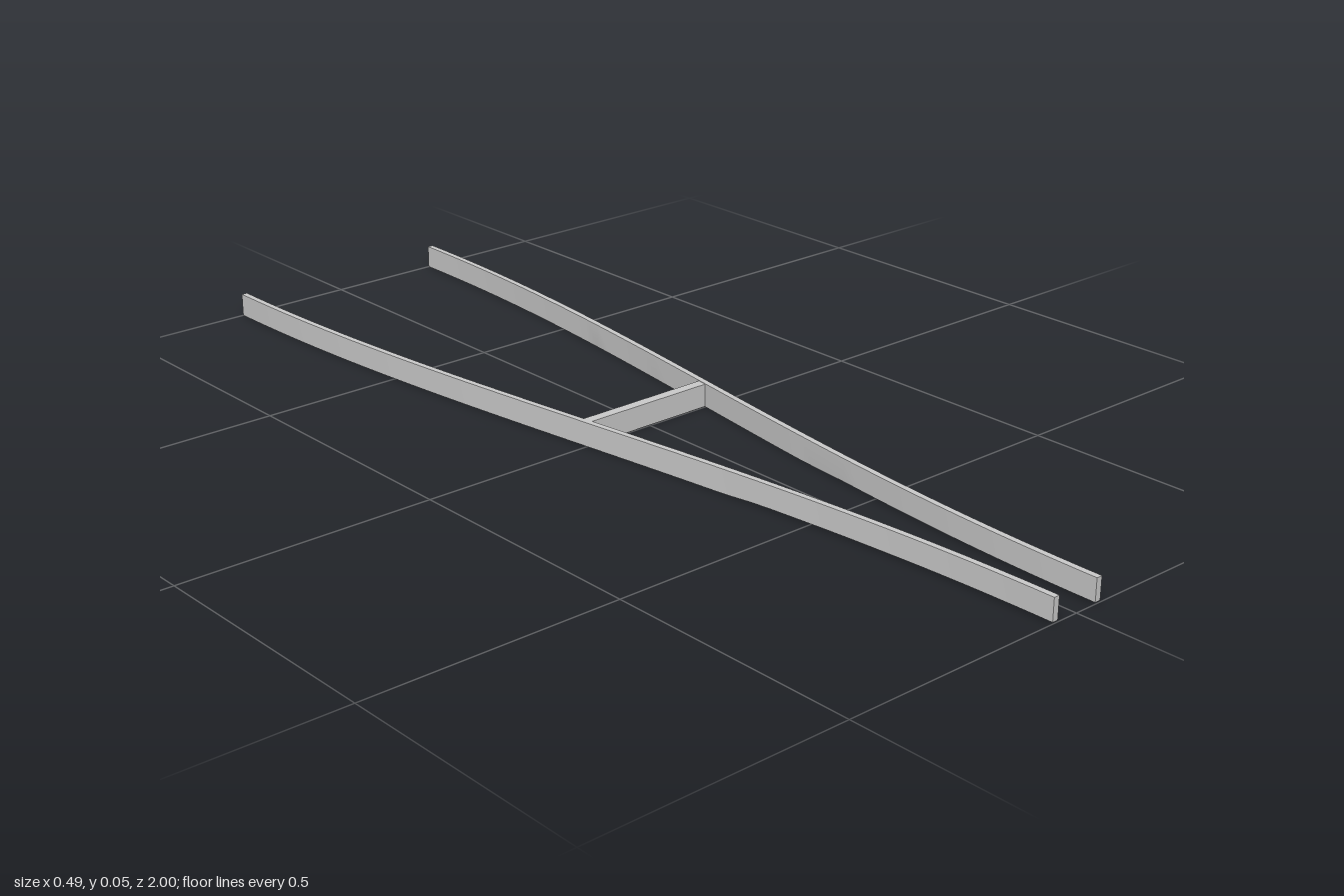
import * as THREE from 'three';
import { toCreasedNormals } from 'three/addons/utils/BufferGeometryUtils.js';

const HEIGHT = 0.046, HALF_THICK = 0.006, STEPS = 48;

// Centre line of the left rail: a gentle S, narrow at the front, wide at the back
const railX = (z) => 0.144 - 0.093 * Math.sin((Math.PI * z) / 2);

function railGeometry(side) {
  const inner = [], outer = [];
  for (let i = 0; i <= STEPS; i++) {
    const z = -1 + (2 * i) / STEPS;
    const x = side * railX(z);
    inner.push(new THREE.Vector2(x - HALF_THICK, -z));
    outer.push(new THREE.Vector2(x + HALF_THICK, -z));
  }
  const shape = new THREE.Shape([...inner, ...outer.reverse()]);
  const geo = new THREE.ExtrudeGeometry(shape, { depth: HEIGHT, bevelEnabled: false });
  geo.rotateX(-Math.PI / 2);

  // The underside rises very slightly towards the front
  const pos = geo.attributes.position;
  for (let i = 0; i < pos.count; i++) {
    if (pos.getY(i) < HEIGHT / 2) {
      pos.setY(i, 0.003 * THREE.MathUtils.smoothstep(pos.getZ(i), 0.3, 0.4));
    }
  }
  return toCreasedNormals(geo, Math.PI / 6);
}

export function createModel() {
  const group = new THREE.Group();
  group.name = 'railFrame';
  const material = new THREE.MeshStandardMaterial({ color: 0xcccccc });

  const add = (name, geometry) => {
    const mesh = new THREE.Mesh(geometry, material);
    mesh.name = name;
    group.add(mesh);
    return mesh;
  };

  // Two mirrored curved rails
  add('leftRail', railGeometry(1));
  add('rightRail', railGeometry(-1));

  // Cross member joining the rails at mid length
  const bar = add('crossMember', new THREE.BoxGeometry(0.288, HEIGHT - 0.001, 0.02));
  bar.position.set(0, (HEIGHT - 0.001) / 2, -0.012);

  return group;
}
